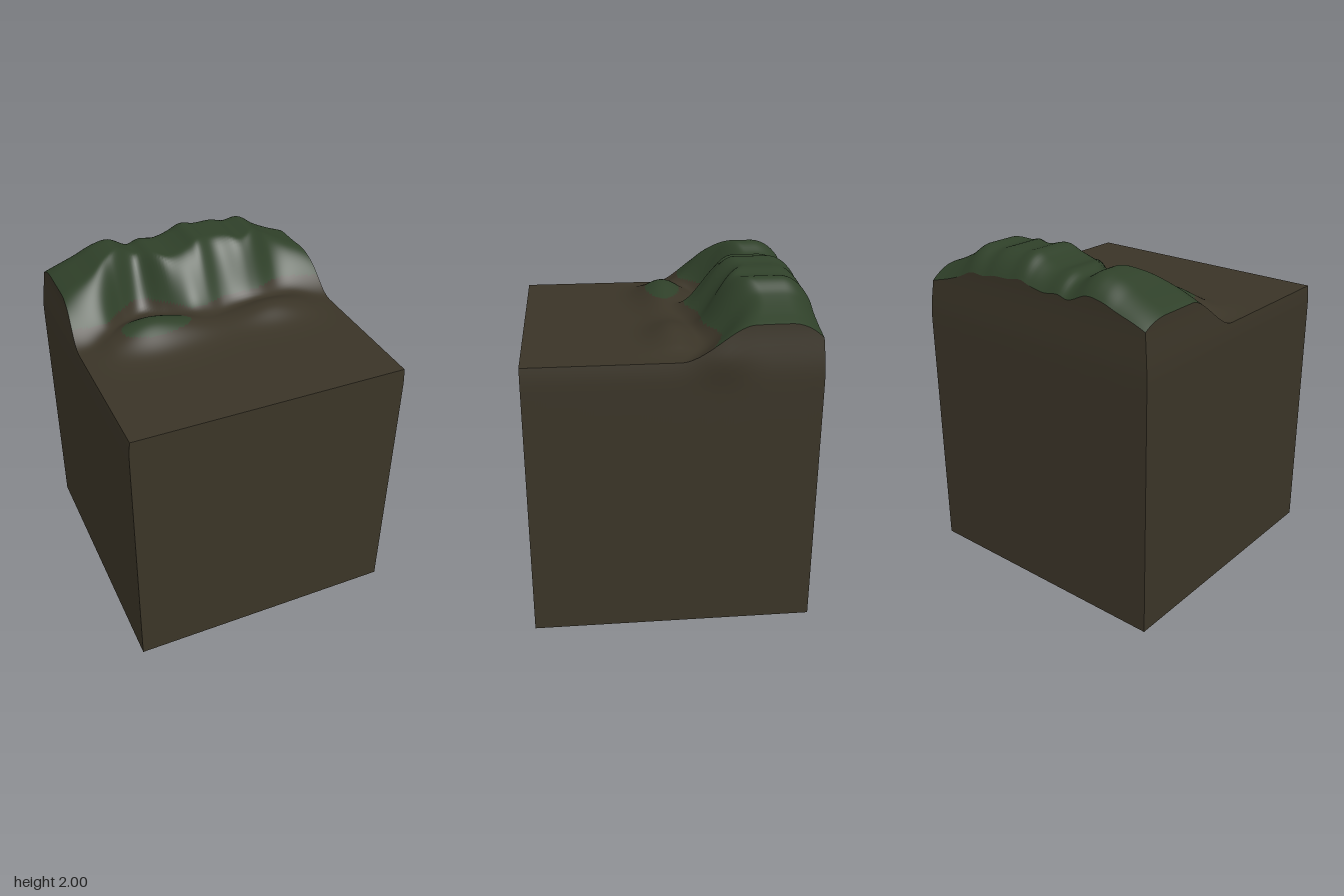
import * as THREE from 'three';

const HALF = 0.81, GROUND = 1.62, N = 110;
const { smoothstep } = THREE.MathUtils;

// Smooth curve through [x, value] pairs
function curve(points) {
  const f = new THREE.CubicInterpolant(points.map(p => p[0]), points.map(p => p[1]), 1);
  return x => f.evaluate(x)[0];
}

// Ridge outline, and the z where its slope meets the plain and reaches the top
const crest = curve([[-0.81, 1.82], [-0.74, 1.85], [-0.6, 1.91], [-0.5, 1.96], [-0.4, 1.98],
  [-0.27, 1.92], [-0.2, 1.945], [-0.1, 1.935], [0, 1.965], [0.07, 2.0], [0.16, 1.985], [0.28, 1.985],
  [0.36, 1.965], [0.46, 1.975], [0.56, 1.91], [0.7, 1.845], [0.81, 1.81]]);
const foot = curve([[-0.81, -0.04], [-0.6, -0.08], [-0.45, -0.22], [-0.33, -0.28],
  [-0.2, -0.2], [-0.05, -0.06], [0.15, -0.1], [0.4, -0.13], [0.6, -0.15], [0.81, -0.03]]);
const brow = curve([[-0.81, -0.4], [-0.6, -0.42], [-0.45, -0.5], [-0.3, -0.56],
  [-0.15, -0.42], [0.05, -0.42], [0.2, -0.46], [0.35, -0.4], [0.55, -0.5], [0.81, -0.43]]);

// Low hills in front of the ridge: x, z, height, width, depth
const foothills = [[-0.38, -0.05, 0.12, 0.22, 0.14], [0.4, -0.03, 0.075, 0.22, 0.12], [-0.08, -0.03, 0.04, 0.18, 0.12]];

function height(x, z) {
  const back = Math.max(0, (-0.62 - z) / 0.19);
  const rise = smoothstep(-z, -foot(x), -brow(x)) * (1 - (0.33 + 0.12 * x) * back * back);
  let y = GROUND + (crest(x) - GROUND) * rise;
  for (const [hx, hz, h, w, d] of foothills) {
    const fade = 1 - smoothstep(Math.abs(x), 0.6, 0.8);
    y += h * fade * (1 - rise) * Math.exp(-(((x - hx) / w) ** 2 + ((z - hz) / d) ** 2) / 1.3);
  }
  return Math.min(y, 2);
}

// Rounds the upper rim inward and swells the right bank slightly
function warp(x, y, z) {
  const k = smoothstep(y, 1.5, 1.85);
  const ax = (Math.abs(x) / HALF) ** 10, az = z < 0 ? (-z / HALF) ** 10 : 0;
  const swell = x > 0 ? 0.022 * Math.exp(-(((z + 0.27) / 0.14) ** 2)) * smoothstep(y, 1.45, 1.65) : 0;
  return [x - Math.sign(x) * ax * (0.03 * k - swell), y, z + az * 0.02 * k];
}

// Grid surface from a rule (u, v) -> [x, y, z]
function surface(rule, nu, nv) {
  const pos = [], index = [];
  for (let j = 0; j <= nv; j++)
    for (let i = 0; i <= nu; i++) pos.push(...rule(i / nu, j / nv));
  for (let j = 0; j < nv; j++)
    for (let i = 0; i < nu; i++) {
      const a = j * (nu + 1) + i, b = a + 1, c = a + nu + 1, d = c + 1;
      index.push(a, c, b, b, c, d);
    }
  const geo = new THREE.BufferGeometry();
  geo.setAttribute('position', new THREE.Float32BufferAttribute(pos, 3));
  geo.setIndex(index);
  geo.computeVertexNormals();
  return geo;
}

export function createModel() {
  const model = new THREE.Group();
  const earth = new THREE.MeshStandardMaterial({ color: 0x3a3427 });
  const grass = new THREE.MeshStandardMaterial({ color: 0x2f4029 });
  const add = (name, geo, mat) => {
    const mesh = new THREE.Mesh(geo, mat);
    mesh.name = name;
    model.add(mesh);
    return mesh;
  };

  // Top terrain, split by height into bare plain and grassy ridge sharing normals
  const top = surface((u, v) => {
    const x = (u * 2 - 1) * HALF, z = (v * 2 - 1) * HALF;
    return warp(x, height(x, z), z);
  }, N, N);
  const p = top.attributes.position, ids = top.index.array;
  const low = [], high = [];
  for (let i = 0; i < ids.length; i += 3) {
    const tri = [ids[i], ids[i + 1], ids[i + 2]];
    const y = tri.reduce((s, k) => s + p.getY(k), 0) / 3;
    (y > 1.7 ? high : low).push(...tri);
  }
  for (const [name, list, mat] of [['plain', low, earth], ['grassyRidge', high, grass]]) {
    const geo = top.clone();
    geo.setIndex(list);
    add(name, geo, mat);
  }

  // Four earth walls, each following the terrain edge
  const walls = {
    frontWall: t => [t, HALF], backWall: t => [-t, -HALF],
    rightWall: t => [HALF, -t], leftWall: t => [-HALF, t],
  };
  for (const [name, edge] of Object.entries(walls)) {
    add(name, surface((u, v) => {
      const [x, z] = edge((u * 2 - 1) * HALF);
      const y = height(x, z);
      // rows are packed toward the rim
      return warp(x, y * (1 - v * v), z);
    }, N, 24), earth);
  }

  // Underside
  const base = add('underside', new THREE.PlaneGeometry(2 * HALF, 2 * HALF), earth);
  base.rotation.x = Math.PI / 2;
  return model;
}
